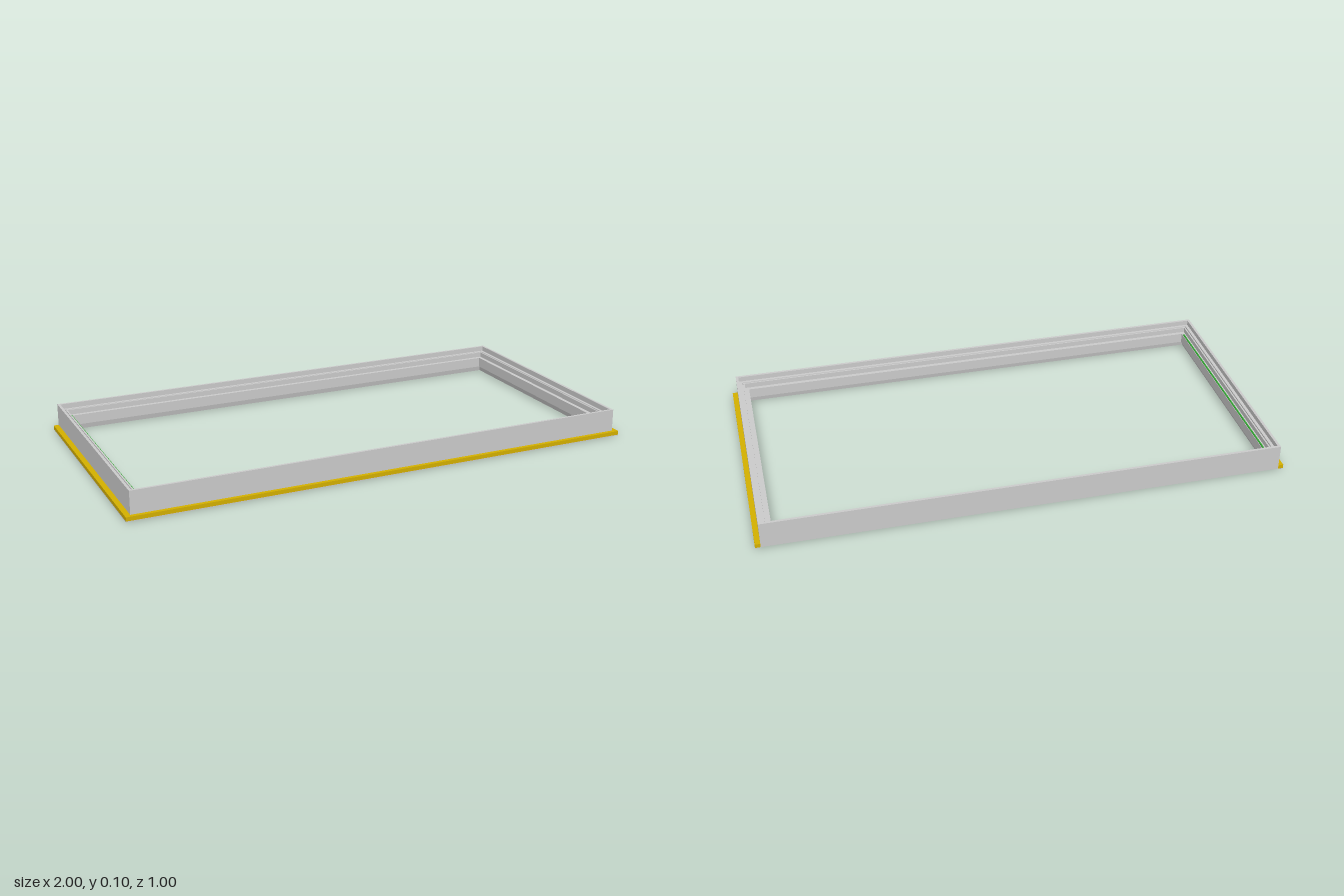
import * as THREE from 'three';

const XO = 0.98, ZF = 0.485, ZB = -0.5;

// Sweeps a closed profile of [inset, height] points round the rectangle with mitred corners
function mitredFrame(profile) {
  const ring = ([d, y]) => [
    [-XO + d, y, ZF - d], [XO - d, y, ZF - d], [XO - d, y, ZB + d], [-XO + d, y, ZB + d],
  ];
  const pos = [];
  profile.forEach((p, i) => {
    const a = ring(p), b = ring(profile[(i + 1) % profile.length]);
    for (let k = 0; k < 4; k++) {
      const n = (k + 1) % 4;
      pos.push(...a[k], ...a[n], ...b[n], ...a[k], ...b[n], ...b[k]);
    }
  });
  const g = new THREE.BufferGeometry();
  g.setAttribute('position', new THREE.Float32BufferAttribute(pos, 3));
  g.computeVertexNormals();
  return g;
}

// U-shaped strip on the front and both sides, open at the back
function flange(width, y0, y1, xOut, zOut) {
  const s = new THREE.Shape([
    [-xOut, -ZB], [-xOut, -zOut], [xOut, -zOut], [xOut, -ZB],
    [xOut - width, -ZB], [xOut - width, -zOut + width],
    [-xOut + width, -zOut + width], [-xOut + width, -ZB],
  ].map(([x, y]) => new THREE.Vector2(x, y)));
  const g = new THREE.ExtrudeGeometry(s, { depth: y1 - y0, bevelEnabled: false });
  g.rotateX(-Math.PI / 2);
  g.translate(0, y0, 0);
  return g;
}

export function createModel() {
  const model = new THREE.Group();
  const grey = new THREE.MeshStandardMaterial({ color: 0xcccccc });
  const yellow = new THREE.MeshStandardMaterial({ color: 0xd4b000 });
  const green = new THREE.MeshStandardMaterial({ color: 0x2fa52f });
  const add = (name, geometry, material) => {
    const m = new THREE.Mesh(geometry, material);
    m.name = name;
    model.add(m);
    return m;
  };

  // Main frame: tall outer wall, stepped inside, undercut inner lip
  add('frame', mitredFrame([
    [0, 0.003], [0, 0.105], [0.01, 0.105], [0.01, 0.085], [0.022, 0.085],
    [0.022, 0.075], [0.026, 0.075], [0.026, 0.085], [0.032, 0.085],
    [0.032, 0.065], [0.047, 0.065], [0.047, 0.025], [0.041, 0.025], [0.036, 0.003],
  ]), grey);

  // Coloured edging strip and the thin lip below it
  add('edgingStrip', flange(0.02, 0.003, 0.018, 1, 0.5), yellow);
  add('edgingLip', flange(0.01, 0, 0.003, 1, 0.5), grey);

  // Thin seal along the inner ledge on the right side
  const seal = add('innerSeal', new THREE.BoxGeometry(0.006, 0.004, 0.88), green);
  seal.position.set(-0.938, 0.066, -0.012);

  return model;
}
